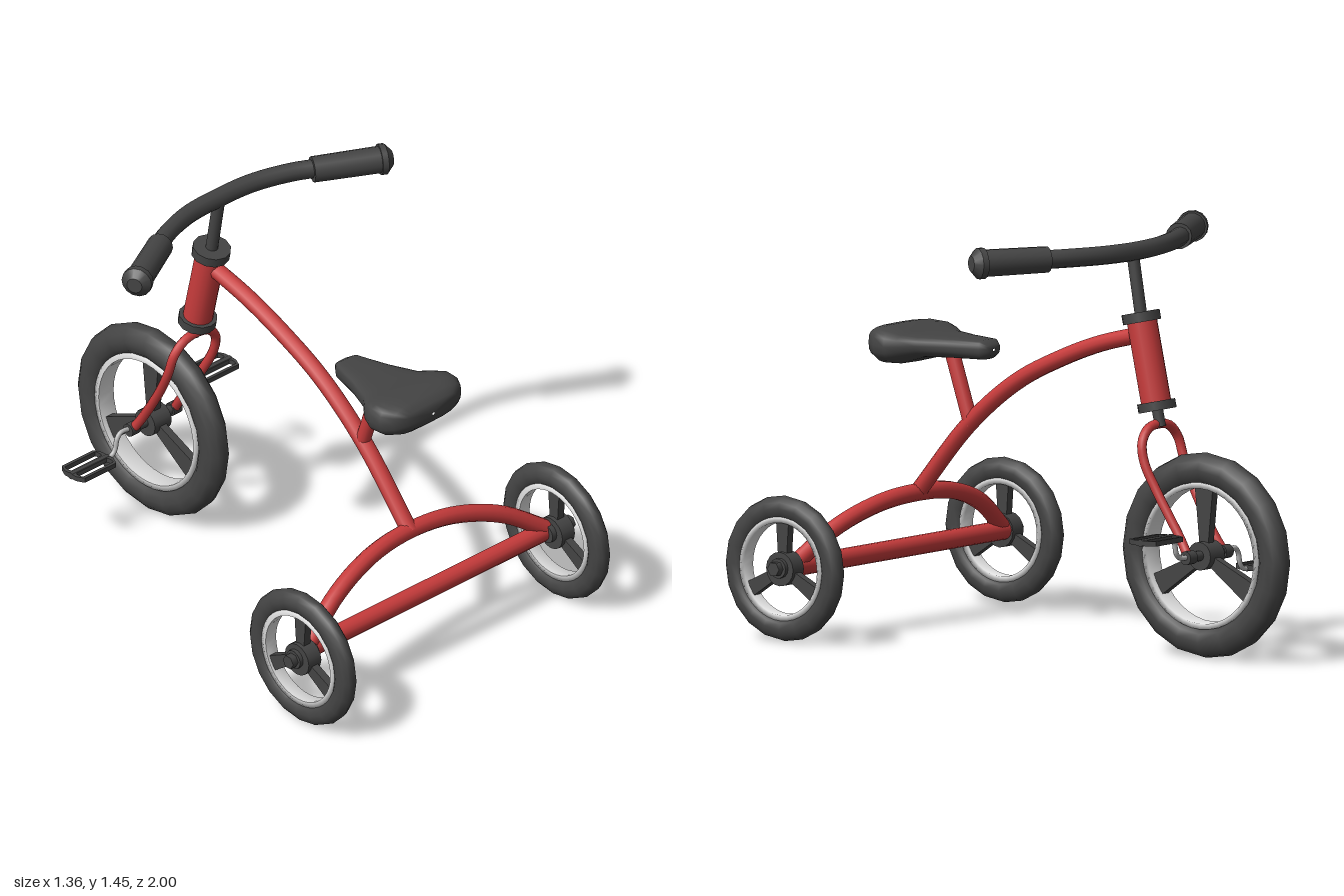
import * as THREE from 'three';

const mat = (name, color, side = THREE.FrontSide) => {
  const m = new THREE.MeshStandardMaterial({ color, side });
  m.name = name;
  return m;
};
const V = (x, y, z) => new THREE.Vector3(x, y, z);

export function createModel() {
  const red = mat('red paint', 0xc83c3c);
  const black = mat('black rubber', 0x444444);
  const white = mat('white rim', 0xe2e2e2, THREE.DoubleSide);
  const steel = mat('steel', 0xb8b8b8);
  const model = new THREE.Group();
  model.name = 'tricycle';

  const add = (parent, name, geometry, material) => {
    const m = new THREE.Mesh(geometry, material);
    m.name = name;
    parent.add(m);
    return m;
  };
  // straight rod from a to b, radius ra at a and rb at b
  const rod = (name, a, b, ra, rb, material, sides = 14, parent = model) => {
    const d = b.clone().sub(a);
    const m = add(parent, name, new THREE.CylinderGeometry(rb, ra, d.length(), sides), material);
    m.position.copy(a).addScaledVector(d, 0.5);
    m.quaternion.setFromUnitVectors(V(0, 1, 0), d.normalize());
    return m;
  };
  // smooth bent tube through points
  const tube = (name, pts, r, material, parent = model, seg = 32) =>
    add(parent, name, new THREE.TubeGeometry(
      new THREE.CatmullRomCurve3(pts.map(p => V(...p))), seg, r, 10), material);

  // wheel with tyre, rim band, three flared blades and hub; axle along x
  const wheel = (name, R, thick, width, hubR, hubLen, pos) => {
    const g = new THREE.Group();
    g.name = name;
    const tyre = add(g, 'tyre', new THREE.TorusGeometry(R - thick / 2, thick / 2, 12, 20), black);
    tyre.scale.z = width / thick;
    const inner = R - thick, w = width * 0.36;
    const rim = add(g, 'rim', new THREE.LatheGeometry([
      [inner - 0.008, -w], [inner + 0.012, -w], [inner + 0.012, w], [inner - 0.008, w], [inner - 0.008, -w],
    ].map(p => new THREE.Vector2(...p)), 40), white);
    rim.rotation.x = Math.PI / 2;
    const blade = new THREE.Shape([
      [-0.018, hubR * 0.5], [0.018, hubR * 0.5], [inner * 0.165, inner], [-inner * 0.165, inner],
    ].map(p => new THREE.Vector2(...p)));
    for (let i = 0; i < 3; i++) {
      const s = add(g, 'spoke', new THREE.ExtrudeGeometry(blade, { depth: 0.03, bevelEnabled: false }).translate(0, 0, -0.015), black);
      s.rotation.z = i * Math.PI * 2 / 3;
    }
    const hub = add(g, 'hub', new THREE.CylinderGeometry(hubR, hubR, hubLen, 16), black);
    hub.rotation.x = Math.PI / 2;
    g.rotation.y = Math.PI / 2;
    g.position.set(...pos);
    model.add(g);
  };

  wheel('frontWheel', 0.36, 0.115, 0.1, 0.05, 0.08, [0, 0.36, -0.64]);
  for (const s of [-1, 1]) {
    wheel('rearWheel', 0.255, 0.085, 0.07, 0.06, 0.06, [s * 0.61, 0.258, 0.745]);
    rod('axleCollar', V(s * 0.56, 0.262, 0.742), V(s * 0.655, 0.262, 0.742), 0.035, 0.035, black);
    rod('axleNut', V(s * 0.655, 0.262, 0.742), V(s * 0.68, 0.262, 0.742), 0.026, 0.026, black, 6);
  }

  // frame
  rod('rearCrossbar', V(-0.58, 0.262, 0.725), V(0.58, 0.262, 0.725), 0.034, 0.034, red);
  tube('rearBow', [[-0.58, 0.27, 0.73], [-0.4, 0.385, 0.685], [-0.2, 0.45, 0.652], [0, 0.467, 0.64],
    [0.2, 0.45, 0.652], [0.4, 0.385, 0.685], [0.58, 0.27, 0.73]], 0.031, red);
  tube('mainTube', [[0, 0.465, 0.645], [0, 0.73, 0.41], [0, 0.895, 0.2], [0, 0.995, 0], [0, 1.06, -0.17], [0, 1.11, -0.36]], 0.03, red);
  rod('seatPost', V(0, 0.72, 0.405), V(0, 0.97, 0.49), 0.027, 0.027, red);

  // steering head
  const top = V(0, 1.17, -0.35), bottom = V(0, 0.86, -0.42);
  const along = t => top.clone().lerp(bottom, t);
  rod('headTube', along(1), along(0), 0.053, 0.053, red, 16);
  rod('upperCollar', along(0.06), along(-0.05), 0.068, 0.068, black, 12);
  rod('lowerCollar', along(1.04), along(0.94), 0.068, 0.068, black, 12);
  rod('forkStem', along(1.22), along(1), 0.02, 0.02, black);
  rod('handlebarStem', along(0), V(0, 1.4, -0.31), 0.022, 0.022, black);

  // fork: one tube, down both sides of the wheel
  const leg = [[0.1, 0.36, -0.64], [0.092, 0.42, -0.6], [0.1, 0.58, -0.5], [0.108, 0.68, -0.45], [0.1, 0.745, -0.434], [0.06, 0.79, -0.428]];
  tube('fork', [...leg, [0, 0.802, -0.428], ...leg.map(([x, y, z]) => [-x, y, z]).reverse()], 0.017, red, model, 60);

  // handlebar and grips
  tube('handlebar', [[-0.42, 1.4, -0.2], [-0.3, 1.4, -0.262], [-0.15, 1.398, -0.308], [0, 1.396, -0.318],
    [0.15, 1.398, -0.308], [0.3, 1.4, -0.262], [0.42, 1.4, -0.2]], 0.033, black);
  for (const s of [-1, 1]) {
    const a = V(s * 0.365, 1.4, -0.225), b = V(s * 0.605, 1.4, -0.098);
    const at = t => a.clone().lerp(b, t);
    rod('grip', a, at(0.93), 0.046, 0.048, black);
    rod('gripFlange', at(0.89), at(0.97), 0.055, 0.055, black);
    rod('gripEnd', at(0.97), at(1.06), 0.055, 0.028, black);
  }

  // seat lofted along z: [z, half width, top, bottom]
  const sections = [
    [0.305, 0.005, 0.998, 0.99], [0.306, 0.035, 1.015, 0.975], [0.33, 0.055, 1.03, 0.96], [0.45, 0.092, 1.032, 0.958],
    [0.55, 0.135, 1.034, 0.955], [0.6, 0.178, 1.044, 0.94], [0.64, 0.196, 1.056, 0.926], [0.69, 0.19, 1.06, 0.924],
    [0.73, 0.165, 1.055, 0.938], [0.755, 0.12, 1.036, 0.96], [0.762, 0.06, 1.02, 0.975], [0.763, 0.005, 1.0, 0.99],
  ];
  const N = 24, pos = [], idx = [];
  sections.forEach(([z, w, t, b], i) => {
    const mid = (t + b) / 2 + 0.005, p = (v, e) => Math.sign(v) * Math.abs(v) ** e;
    for (let j = 0; j < N; j++) {
      const c = Math.cos(j / N * Math.PI * 2), s = Math.sin(j / N * Math.PI * 2);
      pos.push(w * p(c, 0.55), mid + (s > 0 ? (t - mid) * p(s, 0.55) : (mid - b) * p(s, 0.8)), z);
      if (i === sections.length - 1) continue;
      const q = i * N + j, r = i * N + (j + 1) % N;
      idx.push(q, r, r + N, q, r + N, q + N);
    }
  });
  const seatGeo = new THREE.BufferGeometry();
  seatGeo.setAttribute('position', new THREE.Float32BufferAttribute(pos, 3));
  seatGeo.setIndex(idx);
  seatGeo.computeVertexNormals();
  add(model, 'seat', seatGeo, black);

  // front axle, bent cranks and open-frame pedals, one up and one down
  rod('frontAxle', V(-0.12, 0.362, -0.642), V(0.12, 0.362, -0.642), 0.018, 0.018, black);
  const outline = (w, h, c, cx = 0, cy = 0, Type = THREE.Shape) => new Type([
    [-w, -h + c], [-w + c * 0.5, -h], [w - c * 0.5, -h], [w, -h + c], [w, h - c], [w - c * 0.5, h], [-w + c * 0.5, h], [-w, h - c],
  ].map(([x, y]) => new THREE.Vector2(x + cx, y + cy)));
  const pedalShape = outline(0.09, 0.058, 0.03);
  for (const s of [-1, 1])
    pedalShape.holes.push(outline(0.076, 0.017, 0.008, 0, s * 0.029, THREE.Path));
  const pedalGeo = new THREE.ExtrudeGeometry(pedalShape, { depth: 0.018, bevelEnabled: false })
    .translate(0, 0, -0.009).rotateX(Math.PI / 2);
  for (const s of [-1, 1]) {
    const y = 0.368 + s * 0.076, x0 = s > 0 ? 0.285 : -0.305;
    rod('axleSleeve', V(s * 0.08, 0.362, -0.642), V(s * 0.12, 0.362, -0.642), 0.024, 0.024, black);
    tube('crank', [[s * 0.1, 0.364, -0.643], [s * 0.155, 0.368, -0.643], [s * 0.172, 0.385 + (s < 0 ? -0.035 : 0), -0.643],
      [s * 0.182, y - s * 0.02, -0.643], [s * 0.2, y, -0.643], [x0, y, -0.643]], 0.009, steel);
    add(model, 'pedal', pedalGeo, black).position.set(x0, y, -0.645);
    rod('pedalSpindle', V(x0 - 0.09, y, -0.645), V(x0 + 0.09, y, -0.645), 0.013, 0.013, black, 10);
  }
  return model;
}
